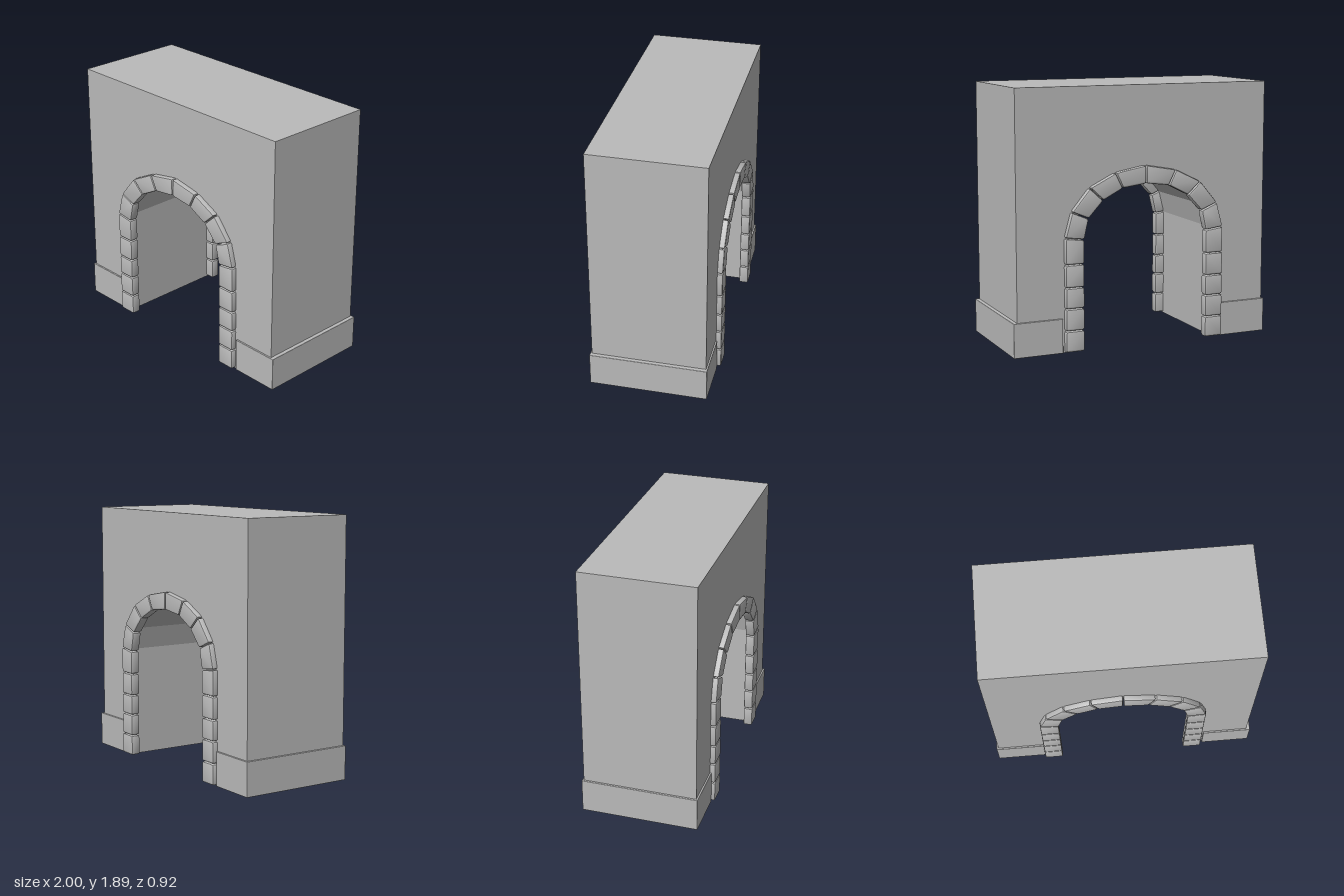
import * as THREE from 'three';
import { toCreasedNormals } from 'three/addons/utils/BufferGeometryUtils.js';
import { RoundedBoxGeometry } from 'three/addons/geometries/RoundedBoxGeometry.js';

const CX = -0.007; // the wall and arch sit slightly off centre
const stone = new THREE.MeshStandardMaterial({ color: 0xbababa });
stone.name = 'greyStone';

// Joints between stones on the +x side, from the ground to the crown: [outer x, y, inner x, y]
const joints = [
  [0.622, 0.005, 0.482, 0.005], [0.622, 0.16, 0.482, 0.16], [0.622, 0.32, 0.482, 0.32],
  [0.622, 0.472, 0.482, 0.472], [0.622, 0.638, 0.482, 0.638], [0.622, 0.83, 0.482, 0.812],
  [0.572, 1.012, 0.448, 0.96], [0.435, 1.175, 0.335, 1.083], [0.237, 1.272, 0.182, 1.162],
  [0, 1.315, 0, 1.185],
];

function mesh(name, geometry) {
  const m = new THREE.Mesh(geometry, stone);
  m.name = name;
  return m;
}

// Four-sided outline, pulled in at the joints and rounded at the corners
function stoneShape(a, b, side) {
  const [oa, ia, ob, ib] = [[a[0], a[1]], [a[2], a[3]], [b[0], b[1]], [b[2], b[3]]]
    .map(([x, y]) => new THREE.Vector2(x * side, y));
  const gap = 0.003;
  const pull = (p, q) => p.clone().add(q.clone().sub(p).setLength(gap));
  const pts = [pull(oa, ob), pull(ob, oa), pull(ib, ia), pull(ia, ib)];
  const toward = (p, q) => p.clone().add(q.clone().sub(p).setLength(0.014));
  const s = new THREE.Shape();
  pts.forEach((p, i) => {
    const from = toward(p, pts[(i + 3) % 4]);
    const to = toward(p, pts[(i + 1) % 4]);
    if (i === 0) s.moveTo(from.x, from.y);
    else s.lineTo(from.x, from.y);
    s.quadraticCurveTo(p.x, p.y, to.x, to.y);
  });
  s.closePath();
  return s;
}

function archStone(a, b, side) {
  const bevel = 0.012;
  const depth = 0.07;
  const g = new THREE.ExtrudeGeometry(stoneShape(a, b, side), {
    depth: depth - 2 * bevel, bevelEnabled: true, bevelSize: bevel, bevelThickness: bevel,
    bevelOffset: -bevel, bevelSegments: 2, curveSegments: 2,
  });
  g.translate(0, 0, bevel - depth / 2);
  return mesh('archStone', toCreasedNormals(g, 0.7));
}

export function createModel() {
  const group = new THREE.Group();
  group.name = 'stoneArchway';

  // Wall with a faceted arched passage running through the middle of the ring
  const half = joints.slice(5).map(([ox, oy, ix, iy]) => [(ox + ix) / 2, (oy + iy) / 2]);
  half.unshift([half[0][0], 0]);
  const opening = [...half, ...half.slice(0, -1).reverse().map(([x, y]) => [-x, y])];
  const outline = [[-0.978, 0], [-0.978, 1.89], [0.978, 1.89], [0.978, 0], ...opening];
  const wallShape = new THREE.Shape(outline.map(([x, y]) => new THREE.Vector2(x, y)));
  const wallGeometry = new THREE.ExtrudeGeometry(wallShape, { depth: 0.84, bevelEnabled: false });
  wallGeometry.translate(CX, 0, -0.42);
  group.add(mesh('wall', wallGeometry));

  // Plinths at the foot of each pier
  for (const side of [-1, 1]) {
    const plinth = mesh(side > 0 ? 'leftPlinth' : 'rightPlinth',
      new RoundedBoxGeometry(0.37, 0.25, 0.865, 1, 0.004));
    plinth.position.set(side * 0.815, 0.125, 0);
    group.add(plinth);
  }

  // Ring of stones on the front and back faces
  for (const face of [1, -1]) {
    const ring = new THREE.Group();
    ring.name = face > 0 ? 'frontStones' : 'backStones';
    for (const side of [-1, 1]) {
      for (let i = 0; i + 1 < joints.length; i++) {
        ring.add(archStone(joints[i], joints[i + 1], side));
      }
    }
    ring.position.set(CX, 0, face * 0.425);
    group.add(ring);
  }
  return group;
}
